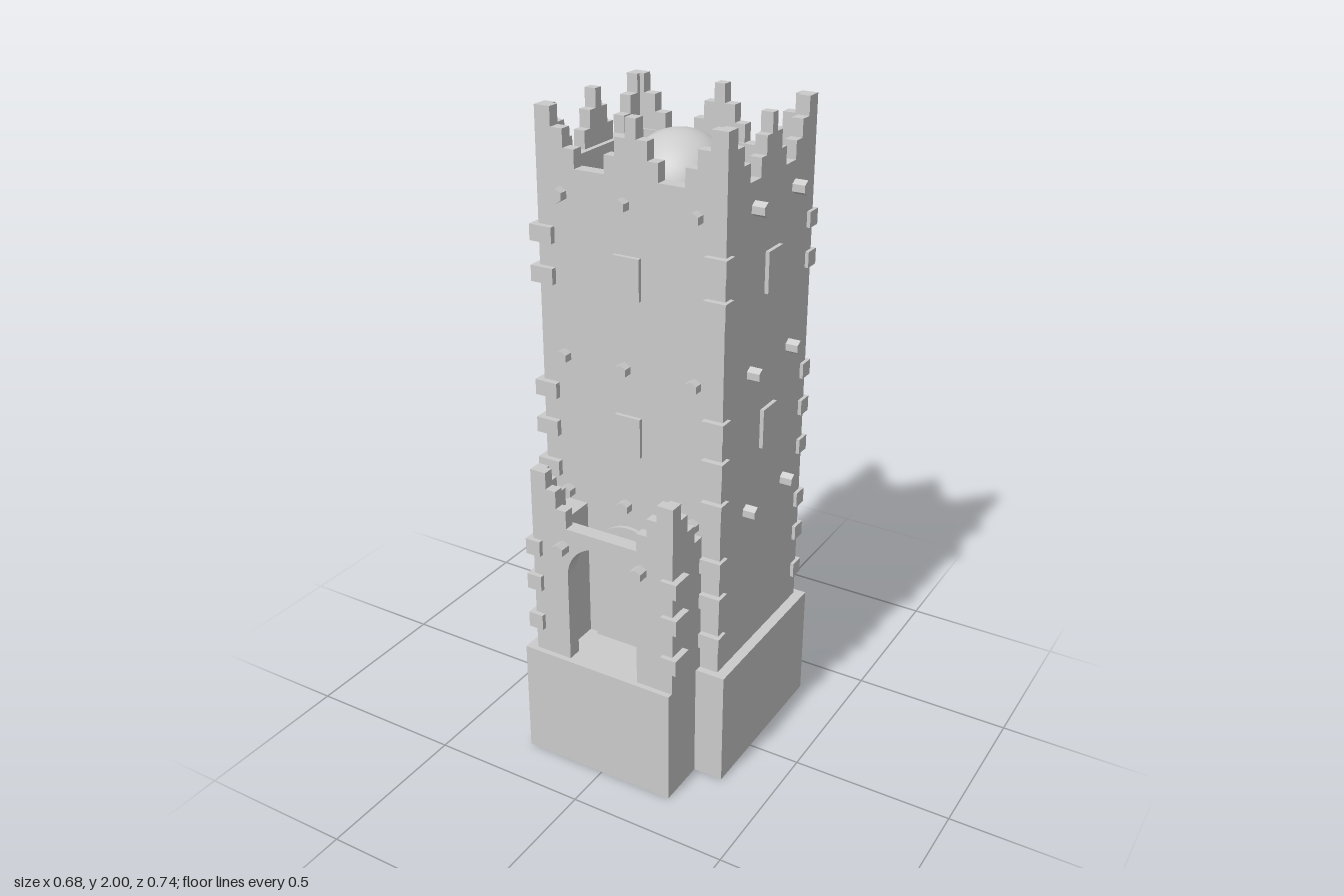
import * as THREE from 'three';

const mat = new THREE.MeshStandardMaterial({ color: 0xcccccc, flatShading: true });
const smooth = new THREE.MeshStandardMaterial({ color: 0xcccccc });

export function createModel() {
  const model = new THREE.Group();
  const add = (name, geo, m = mat) => {
    const mesh = new THREE.Mesh(geo, m);
    mesh.name = name;
    model.add(mesh);
    return mesh;
  };
  const box = (name, x0, x1, y0, y1, z0, z1) => {
    const mesh = add(name, new THREE.BoxGeometry(Math.abs(x1 - x0), y1 - y0, Math.abs(z1 - z0)));
    mesh.position.set((x0 + x1) / 2, (y0 + y1) / 2, (z0 + z1) / 2);
    return mesh;
  };
  // Upright prism from a counter-clockwise plan of [x, -z] points, with an optional hole
  const prism = (name, plan, hole, y0, y1) => {
    const toPoints = (list) => list.map(([x, y]) => new THREE.Vector2(x, y));
    const shape = new THREE.Shape(toPoints(plan));
    if (hole) shape.holes.push(new THREE.Path(toPoints(hole)));
    const geo = new THREE.ExtrudeGeometry(shape, { depth: y1 - y0, bevelEnabled: false });
    add(name, geo.rotateX(-Math.PI / 2).translate(0, y0, 0));
  };
  const rect = (x0, x1, z0, z1) => [[x0, -z1], [x1, -z1], [x1, -z0], [x0, -z0]];
  // Plan of the plinth: tower block plus the porch block, inset by i
  const tee = (i) => [
    [-0.268 + i, -0.352 + i], [0.24 - i, -0.352 + i], [0.24 - i, -0.193 + i], [0.335 - i, -0.193 + i],
    [0.335 - i, 0.365 - i], [-0.32 + i, 0.365 - i], [-0.32 + i, -0.193 + i], [-0.268 + i, -0.193 + i],
  ];

  const X0 = -0.29, X1 = 0.302, Z0 = -0.345, Z1 = 0.171;   // tower faces
  const cx = 0.013, cz = -0.0875;

  // Plinth: thin shell open below, closed by a slab
  prism('plinthWalls', tee(0), tee(0.006), 0, 0.368);
  prism('plinthSlab', tee(0), null, 0.368, 0.375);

  // Tower walls, roof and dome
  prism('towerWalls', rect(X0, X1, Z0, Z1), rect(-0.238, 0.25, -0.302, 0.13), 0.375, 1.84);
  box('roof', -0.239, 0.251, 1.71, 1.74, -0.303, 0.131);
  const dome = add('dome', new THREE.SphereGeometry(0.158, 40, 20, 0, Math.PI * 2, 0, Math.PI * 0.58), smooth);
  dome.position.set(0.016, 1.763, -0.081);

  // Stepped tower battlements: corner and middle merlons
  const T = 0.036, H = [2, 1.945, 1.893];
  const steps = [0, 0.05, 0.088, 0.124];
  for (const [x, sx] of [[X0, 1], [X1, -1]]) {
    for (const [z, sz] of [[Z0, 1], [Z1, -1]]) {
      H.forEach((y, i) => {
        box('cornerMerlon', x + sx * steps[i], x + sx * steps[i + 1], 1.84, y, z, z + sz * T);
        box('cornerMerlon', x, x + sx * T, 1.84, y, z + sz * (steps[i] || T), z + sz * steps[i + 1]);
      });
    }
  }
  for (let i = -2; i <= 2; i++) {
    const y = H[Math.abs(i)], w = 0.0167, d = 0.0147;
    for (const [z, s] of [[Z0, 1], [Z1, -1]])
      box('middleMerlon', cx + (2 * i - 1) * w, cx + (2 * i + 1) * w, 1.84, y, z, z + s * T);
    for (const [x, s] of [[X0, 1], [X1, -1]])
      box('middleMerlon', x, x + s * T, 1.84, y, cz + (2 * i - 1) * d, cz + (2 * i + 1) * d);
  }

  // Corner stones
  for (const y of [1.647, 1.527, 1.177, 1.056, 0.924, 0.737, 0.617, 0.48]) {
    for (const [xa, xb] of [[-0.31, -0.237], [0.245, 0.313]])
      for (const [za, zb] of [[-0.358, -0.31], [0.143, 0.189]])
        box('cornerStone', xa, xb, y - 0.024, y + 0.024, za, zb);
    if (y < 0.8)
      for (const [xa, xb] of [[-0.252, -0.203], [0.21, 0.262]])
        box('porchCornerStone', xa, xb, y - 0.025, y + 0.025, 0.275, 0.35);
  }

  // Hexagonal beam ends
  const beam = (name, x, y, z, alongX) => {
    const geo = new THREE.CylinderGeometry(0.0215, 0.0215, 0.07, 6).rotateX(Math.PI / 2);
    if (alongX) geo.rotateY(Math.PI / 2);
    add(name, geo).position.set(x, y, z);
  };
  for (const y of [1.766, 1.292, 0.855]) {
    for (const x of [-0.212, -0.012, 0.214]) {
      beam('frontBeam', x, y, 0.164, false);
      beam('backBeam', x, y, -0.337, false);
    }
    for (const z of [-0.223, 0.017]) {
      beam('rightBeam', -0.291, y, z, true);
      beam('leftBeam', 0.306, y, z, true);
    }
  }
  for (const x of [-0.127, 0.138]) beam('porchBeam', x, 0.763, 0.335, false);

  // Raised window panels on all four faces
  for (const y of [1.565, 1.09]) {
    box('frontWindow', -0.041, 0.043, y - 0.061, y + 0.061, Z1 - 0.01, Z1 + 0.012);
    box('backWindow', -0.041, 0.044, y - 0.061, y + 0.061, Z0 - 0.014, Z0 + 0.01);
    box('rightWindow', X0 - 0.012, X0 + 0.01, y - 0.061, y + 0.061, -0.137, -0.055);
    box('leftWindow', X1 - 0.01, X1 + 0.012, y - 0.061, y + 0.061, -0.137, -0.055);
  }

  // Porch: arched front wall, side walls and the door panel behind
  const arch = (shape, x, r, spring) => shape
    .moveTo(x - r, 0.375).lineTo(x - r, spring)
    .absarc(x, spring, r, Math.PI, 0, true).lineTo(x + r, 0.375);
  const front = arch(new THREE.Shape(), 0.003, 0.118, 0.668);
  front.lineTo(0.242, 0.375).lineTo(0.242, 0.825).lineTo(-0.235, 0.825).lineTo(-0.235, 0.375).closePath();
  add('porchFront', new THREE.ExtrudeGeometry(front, { depth: 0.045, bevelEnabled: false, curveSegments: 16 })
    .translate(0, 0, 0.29));
  box('porchSideWall', -0.235, -0.15, 0.375, 0.825, 0.165, 0.29);
  box('porchSideWall', 0.163, 0.242, 0.375, 0.825, 0.165, 0.29);
  const door = arch(new THREE.Shape(), 0, 0.118, 0.668);
  add('door', new THREE.ExtrudeGeometry(door, { depth: 0.02, bevelEnabled: false, curveSegments: 16 })
    .translate(0, 0, 0.163));

  // Stepped porch battlements
  const fx = [0, 0.052, 0.085, 0.119], fz = [0.302, 0.29, 0.255, 0.213];
  for (const [x, s] of [[-0.235, 1], [0.242, -1]]) {
    [0.99, 0.938, 0.882].forEach((y, i) => {
      box('porchMerlon', x + s * fx[i], x + s * fx[i + 1], 0.825, y, 0.302, 0.335);
      box('porchMerlon', x, x + s * 0.035, 0.825, y, fz[i + 1], i ? fz[i] : fz[0]);
    });
  }

  // Two crooked poles leaning on the right wall
  for (const [z, x0] of [[-0.17, -0.322], [-0.1, -0.32]]) {
    const pts = [];
    for (let i = 0; i <= 6; i++)
      pts.push(new THREE.Vector3(x0 + i * 0.005, 0.378 + i * 0.073, z + (i % 2 ? 0.004 : -0.004)));
    add('leaningPole', new THREE.TubeGeometry(new THREE.CatmullRomCurve3(pts), 18, 0.005, 5));
  }

  // Trestle with crossed legs and a tilted board
  for (const z of [-0.03, 0.122]) {
    for (const s of [-1, 1]) {
      const leg = box('trestleLeg', -0.322, -0.308, 0.36, 0.55, z - 0.01, z + 0.01);
      leg.rotation.set(s * 0.06, 0, s * 0.17);
    }
  }
  const board = box('trestleBoard', -0.317, -0.307, 0.43, 0.53, -0.03, 0.135);
  board.rotation.z = -0.15;

  return model;
}
